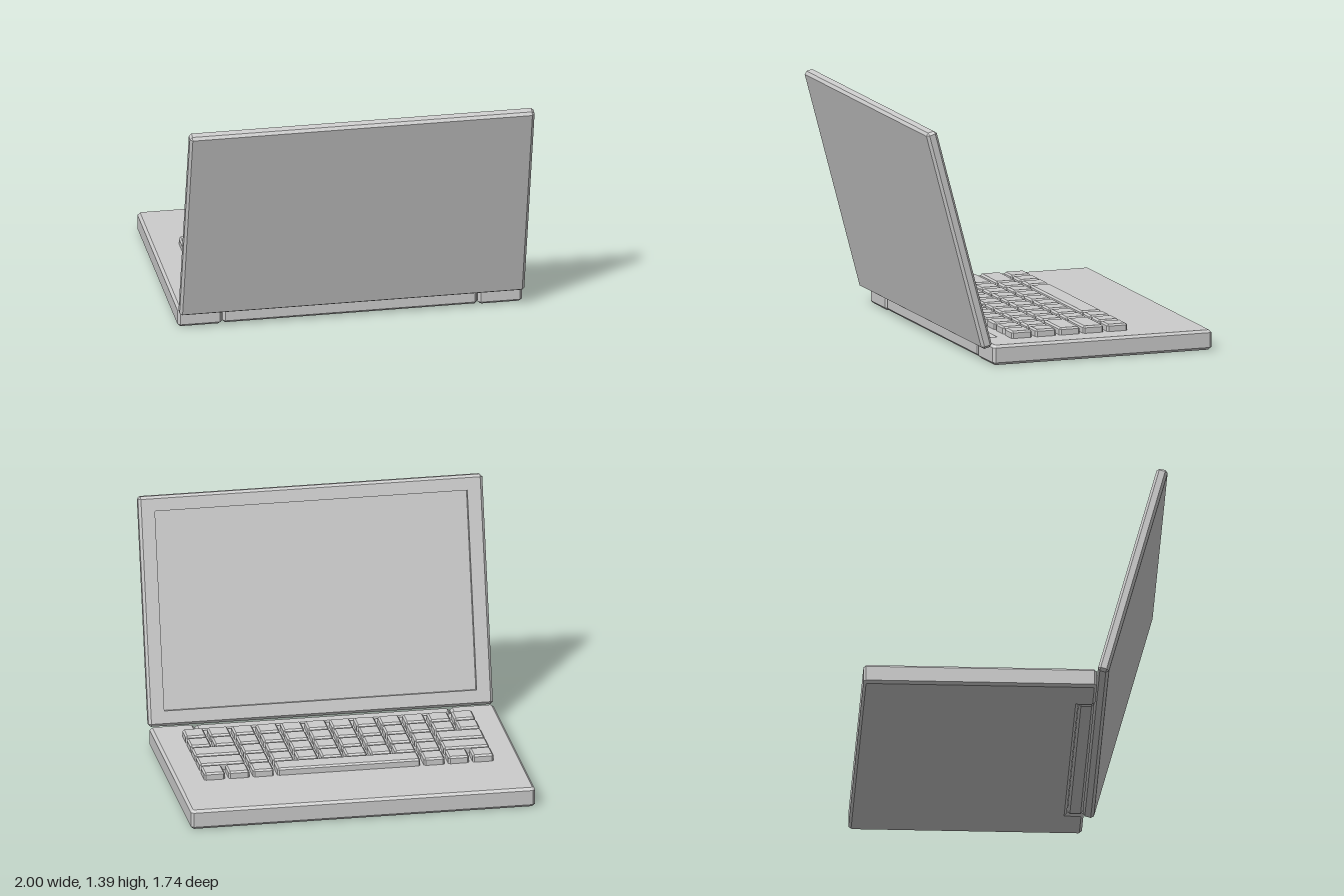
import * as THREE from 'three';

const material = new THREE.MeshStandardMaterial({ color: 0xcccccc, flatShading: true });
const BEVEL = 0.015;

function add(parent, name, geometry, x = 0, y = 0, z = 0) {
  const mesh = new THREE.Mesh(geometry, material);
  mesh.name = name;
  mesh.position.set(x, y, z);
  parent.add(mesh);
  return mesh;
}

// Joins rectangular rings [halfWidth, halfHeight, cornerCut, z] into a flat-shaded skin.
function loftRings(rings) {
  const outlines = rings.map(([w, h, c, z]) => [
    [w, c - h], [w, h - c], [w - c, h], [c - w, h],
    [-w, h - c], [-w, c - h], [c - w, -h], [w - c, -h],
  ].map(([x, y]) => new THREE.Vector3(x, y, z)));
  const points = [];
  const triangle = (a, b, c) => {
    if (new THREE.Triangle(a, b, c).getArea() > 1e-8) points.push(a, b, c);
  };
  for (let i = 0; i < outlines.length - 1; i++) {
    for (let j = 0; j < 8; j++) {
      const k = (j + 1) % 8;
      const [low, high] = [outlines[i], outlines[i + 1]];
      triangle(low[j], low[k], high[k]);
      triangle(low[j], high[k], high[j]);
    }
  }
  const geometry = new THREE.BufferGeometry().setFromPoints(points);
  geometry.computeVertexNormals();
  return geometry;
}

// Rings of a box with every edge chamfered, open at the top face.
const chamferRings = (w, h, d, b) => [
  [0, 0, 0, -d / 2],
  [w / 2 - b, h / 2 - b, 0, -d / 2],
  [w / 2, h / 2, b, b - d / 2],
  [w / 2, h / 2, b, d / 2 - b],
  [w / 2 - b, h / 2 - b, 0, d / 2],
];

// Chamfered box given as width, height, depth in x, y, z.
const chamferBox = (w, h, d, b) =>
  loftRings([...chamferRings(w, d, h, b), [0, 0, 0, h / 2]]).rotateX(-Math.PI / 2);

// Base slab with a slot along the hinge edge.
function baseGeometry(height) {
  const b = BEVEL, near = -0.87, far = 0.465, slotX = 0.742, slotZ = 0.368;
  const half = [
    [1 - b, near], [1, near + b], [1, far - b], [1 - b, far],
    [slotX + b, far], [slotX, far - b], [slotX, slotZ],
  ];
  const mirrored = half.map(([x, z]) => [-x, z]).reverse();
  const shape = new THREE.Shape([...half, ...mirrored].map(([x, z]) => new THREE.Vector2(x, z)));
  return new THREE.ExtrudeGeometry(shape, {
    depth: height - 2 * b, bevelThickness: b, bevelSize: b, bevelOffset: -b, bevelSegments: 1,
  }).rotateX(Math.PI / 2).translate(0, height - b, 0);
}

function createKeyboard() {
  const keyboard = new THREE.Group();
  keyboard.name = 'keyboard';
  const pitchX = 0.1418, pitchZ = 0.1455, gap = 0.021;
  // Key widths of each row, in columns, from the front row to the hinge
  const ones = (n) => Array(n).fill(1);
  const rows = [
    [1, 1, 1, 6, 1, 1, 1],
    [2, ...ones(8), 2],
    [2, ...ones(8), 2],
    ones(12),
    ones(12),
  ];
  rows.forEach((row, r) => {
    let column = -6;
    for (const span of row) {
      const geometry = chamferBox(span * pitchX - gap, 0.06, 0.124, 0.01);
      add(keyboard, span === 6 ? 'spaceBar' : 'key', geometry,
        (column + span / 2) * pitchX, 0.128, -0.352 + r * pitchZ);
      column += span;
    }
  });
  return keyboard;
}

function createLid() {
  const lid = new THREE.Group();
  lid.name = 'lid';
  const height = 1.325, thickness = 0.065;
  const screenW = 0.907, screenH = 0.575, floor = thickness / 2 - 0.031;
  // Chamfered shell whose inner face steps down into the screen recess
  add(lid, 'lidShell', loftRings([
    ...chamferRings(2, height, thickness, BEVEL),
    [screenW, screenH, 0, thickness / 2],
    [screenW, screenH, 0, floor],
  ]));
  add(lid, 'screen', new THREE.PlaneGeometry(2 * screenW, 2 * screenH), 0, 0, floor);
  // Screen faces the keyboard, leaning back
  lid.rotation.set(THREE.MathUtils.degToRad(15), Math.PI, 0);
  lid.position.set(0, 0.743, 0.67);
  return lid;
}

export function createModel() {
  const model = new THREE.Group();
  model.name = 'laptop';
  add(model, 'base', baseGeometry(0.116));
  add(model, 'hinge', chamferBox(1.478, 0.112, 0.091, BEVEL), 0, 0.058, 0.4155);
  model.add(createKeyboard(), createLid());
  return model;
}
